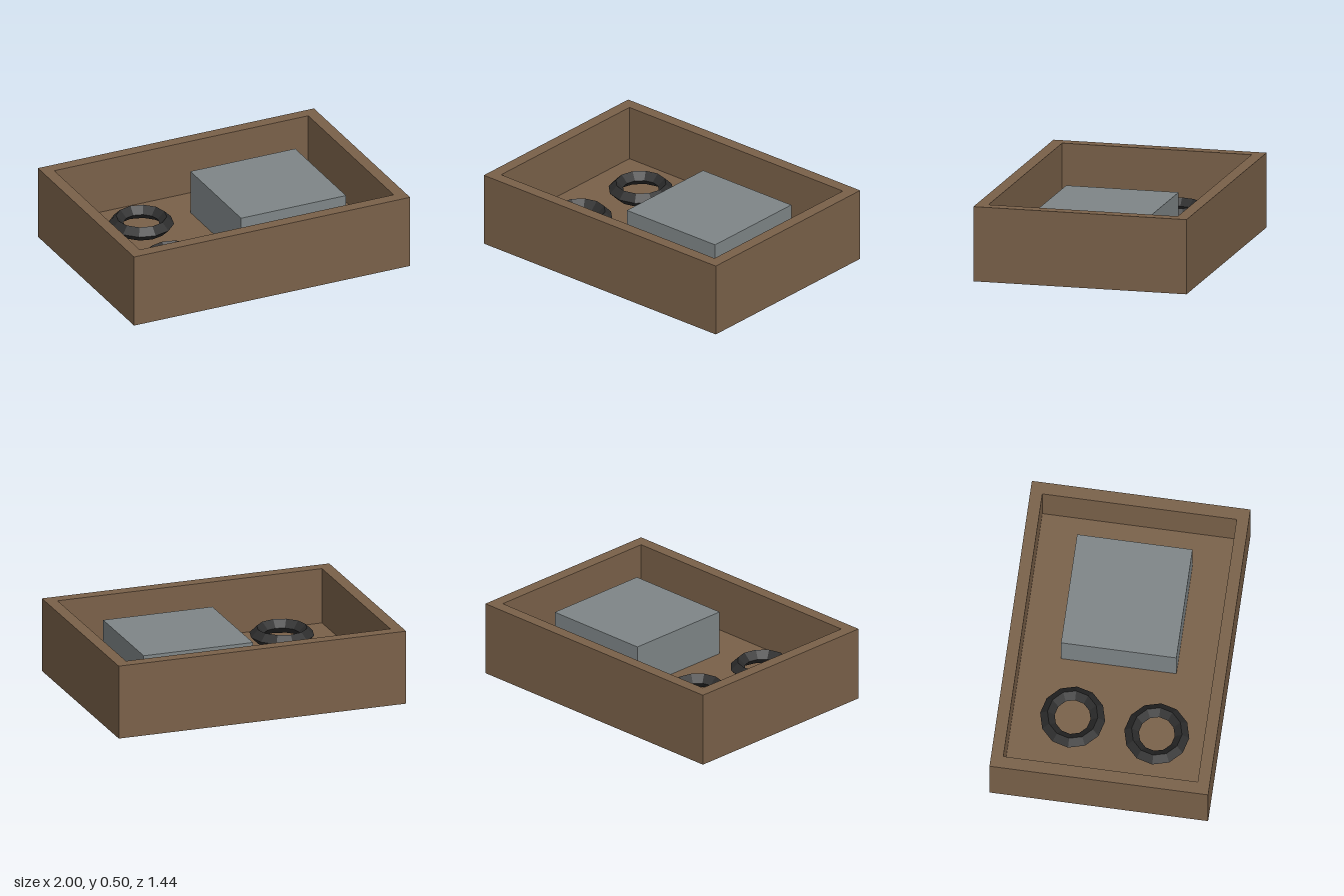
import * as THREE from 'three';

const material = (color) => new THREE.MeshStandardMaterial({ color, flatShading: true });

export function createModel() {
  const model = new THREE.Group();
  model.name = 'openCrate';

  const wood = material(0x7a6149);
  const metal = material(0x7f8688);
  const rubber = material(0x2e2e2e);

  const add = (name, geometry, mat, x, y, z) => {
    const mesh = new THREE.Mesh(geometry, mat);
    mesh.name = name;
    mesh.position.set(x, y, z);
    model.add(mesh);
    return mesh;
  };

  // Crate dimensions
  const W = 2, D = 1.44, H = 0.5, wall = 0.08, floorTop = 0.125;

  // Continuous frame of four walls, extruded upward
  const rectangle = (w, d, path) => path
    .moveTo(-w / 2, -d / 2).lineTo(w / 2, -d / 2)
    .lineTo(w / 2, d / 2).lineTo(-w / 2, d / 2).closePath();
  const frame = rectangle(W, D, new THREE.Shape());
  frame.holes.push(rectangle(W - 2 * wall, D - 2 * wall, new THREE.Path()));
  const wallGeometry = new THREE.ExtrudeGeometry(frame, { depth: H, bevelEnabled: false });
  wallGeometry.rotateX(-Math.PI / 2);
  add('walls', wallGeometry, wood, 0, 0, 0);

  // Floor panel fitted between the walls
  add('floor', new THREE.BoxGeometry(W - 2 * wall, floorTop, D - 2 * wall), wood, 0, floorTop / 2, 0);

  // Square block resting on the floor
  add('block', new THREE.BoxGeometry(0.76, 0.3, 0.76), metal, 0.32, floorTop + 0.15, 0);

  // Two faceted rings lying flat
  const ringGeometry = new THREE.TorusGeometry(0.166, 0.048, 4, 12);
  ringGeometry.rotateX(Math.PI / 2);
  add('backRing', ringGeometry, rubber, -0.48, 0.203, -0.245);
  add('frontRing', ringGeometry, rubber, -0.52, 0.203, 0.315);

  return model;
}
